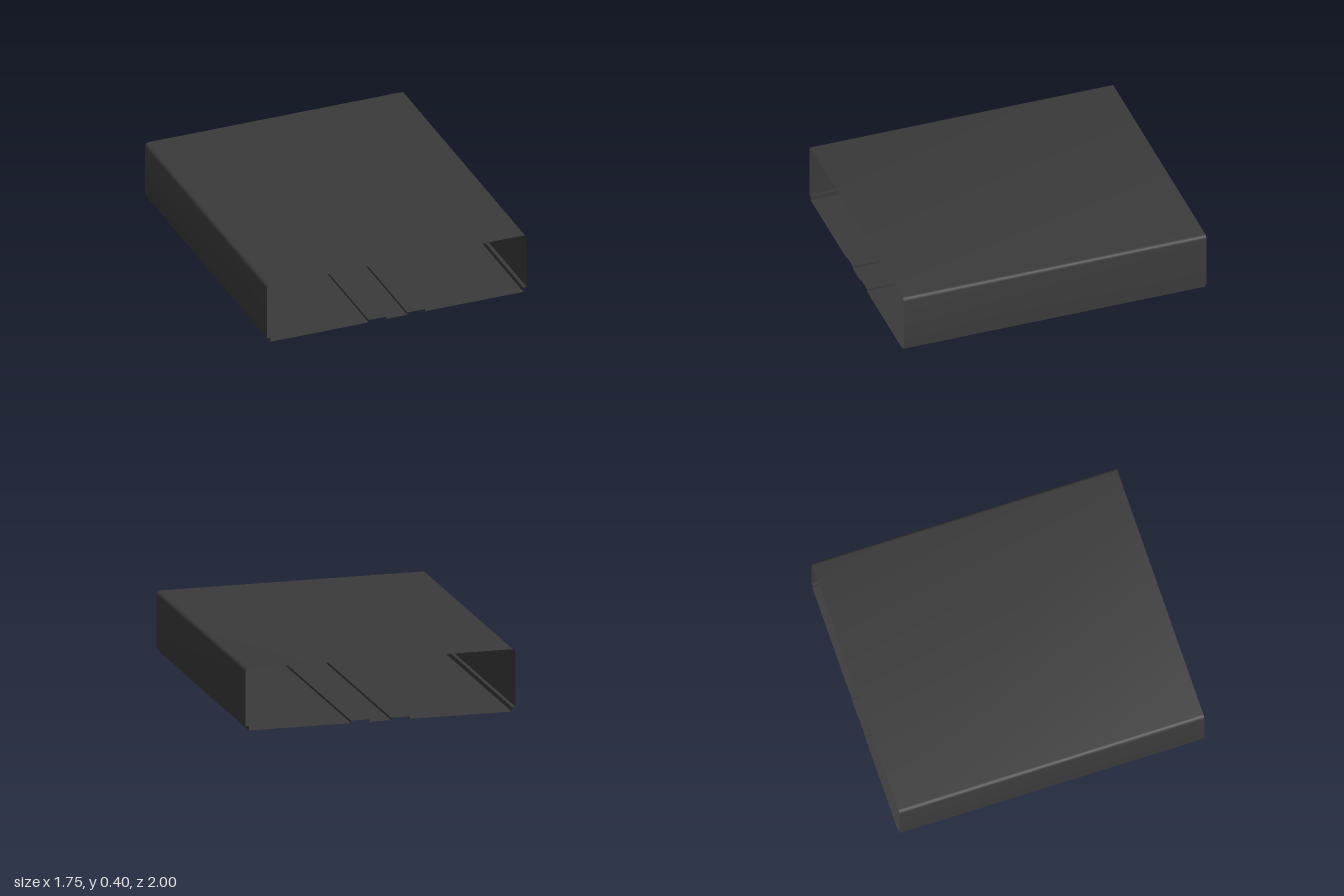
import * as THREE from 'three';
import { toCreasedNormals } from 'three/addons/utils/BufferGeometryUtils.js';

const HALF_LENGTH = 1;

// Sweep an open outline in x,y along z as a thin sheet facing outwards.
function sheet(name, outline, material) {
  const positions = [];
  for (let i = 0; i < outline.length - 1; i++) {
    const [ax, ay] = outline[i];
    const [bx, by] = outline[i + 1];
    const a = [ax, ay, HALF_LENGTH], b = [bx, by, HALF_LENGTH];
    const c = [bx, by, -HALF_LENGTH], d = [ax, ay, -HALF_LENGTH];
    positions.push(...a, ...b, ...c, ...a, ...c, ...d);
  }
  const geometry = new THREE.BufferGeometry();
  geometry.setAttribute('position', new THREE.Float32BufferAttribute(positions, 3));
  const mesh = new THREE.Mesh(toCreasedNormals(geometry, Math.PI / 5), material);
  mesh.name = name;
  return mesh;
}

// Complete a right-hand half outline with its mirror image across x = 0.
function mirrored(half) {
  return [...half, ...half.slice().reverse().map(([x, y]) => [-x, y])];
}

export function createModel() {
  const group = new THREE.Group();
  group.name = 'openSleeve';
  const charcoal = new THREE.MeshStandardMaterial({ color: 0x3a3a3a, side: THREE.DoubleSide });
  charcoal.name = 'charcoal';

  // Side wall, then the rounded upper edge, then across the top
  const coverHalf = [[0.85, 0.03], [0.873, 0.03]];
  for (let i = 0; i <= 4; i++) {
    const t = (i / 4) * Math.PI / 2;
    coverHalf.push([0.848 + 0.025 * Math.cos(t), 0.375 + 0.025 * Math.sin(t)]);
  }
  group.add(sheet('coverWithSides', mirrored(coverHalf), charcoal));

  // Floor with stepped edges and two shallow grooves underneath
  const floorHalf = [
    [-0.85, 0.03], [-0.85, 0], [-0.19, 0], [-0.19, 0.016],
    [-0.07, 0.016], [-0.07, 0],
  ];
  group.add(sheet('groovedFloor', mirrored(floorHalf), charcoal));

  return group;
}
